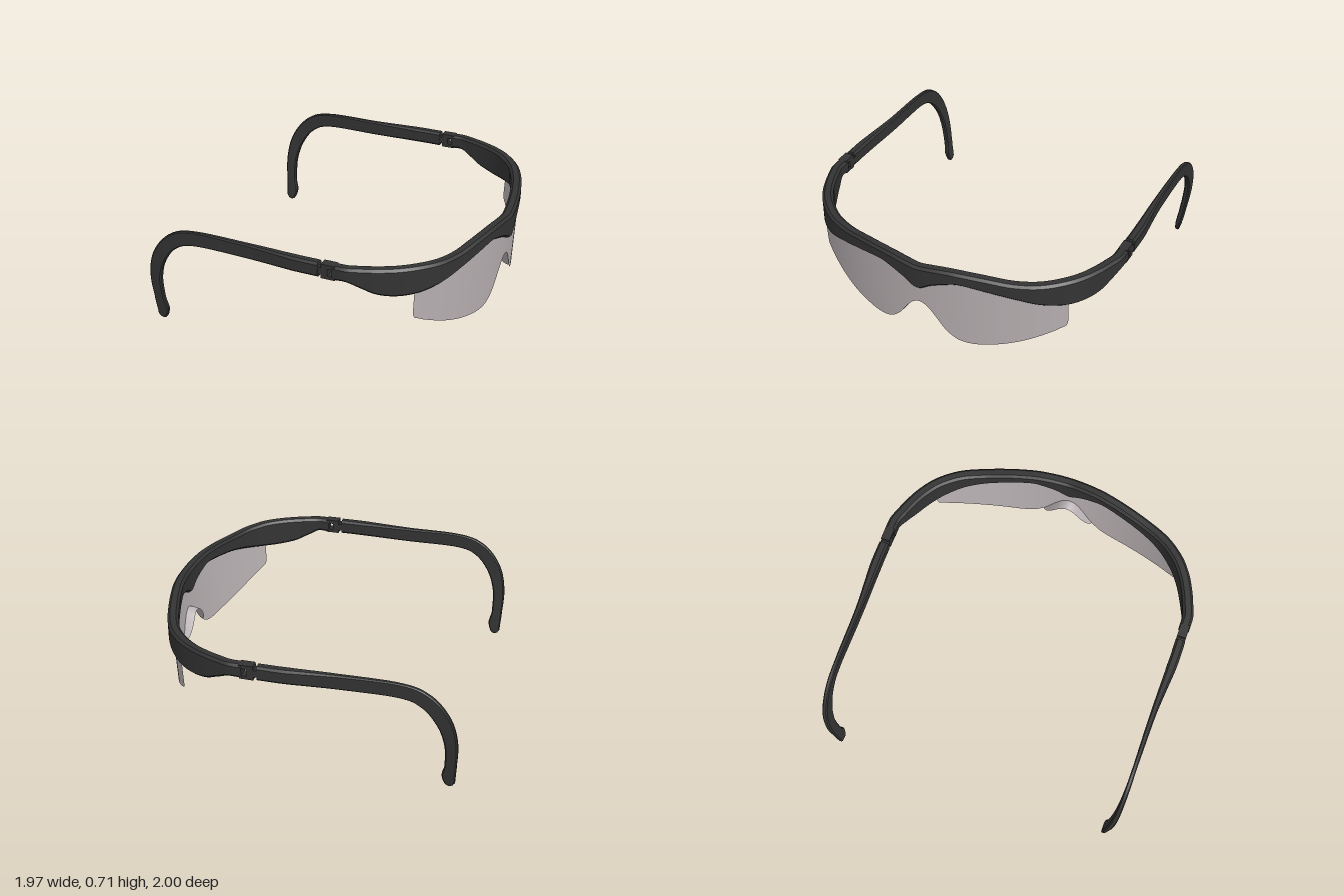
import * as THREE from 'three';
import { toCreasedNormals } from 'three/addons/utils/BufferGeometryUtils.js';

const V = (x, y, z) => new THREE.Vector3(x, y, z);
const smoothCurve = (pts) => new THREE.CatmullRomCurve3(pts, false, 'catmullrom', 0.5);

function meshData(points, index) {
  const g = new THREE.BufferGeometry();
  g.setAttribute('position', new THREE.Float32BufferAttribute(points.flatMap((p) => p.toArray()), 3));
  g.setIndex(index);
  return g;
}

// Chamfered rectangle around c, with half-extent vectors a and b
function ring(c, a, b) {
  const la = a.length(), lb = b.length(), k = 0.45 * Math.min(la, lb);
  const p = 1 - k / la, q = 1 - k / lb;
  return [[1, -q], [1, q], [p, 1], [-p, 1], [-1, q], [-1, -q], [-p, -1], [p, -1]]
    .map(([u, v]) => c.clone().addScaledVector(a, u).addScaledVector(b, v));
}

// Closed solid through a row of rings, turned outwards by its signed volume
function loft(rings) {
  const n = rings[0].length, pts = rings.flat(), idx = [];
  for (let i = 0; i < rings.length - 1; i++) {
    for (let j = 0; j < n; j++) {
      const a = i * n + j, b = i * n + (j + 1) % n;
      idx.push(a, b, b + n, a, b + n, a + n);
    }
  }
  const last = (rings.length - 1) * n;
  for (let j = 1; j < n - 1; j++) idx.push(0, j + 1, j, last, last + j, last + j + 1);
  let volume = 0;
  for (let i = 0; i < idx.length; i += 3) {
    volume += pts[idx[i]].dot(pts[idx[i + 1]].clone().cross(pts[idx[i + 2]]));
  }
  if (volume < 0) idx.reverse();
  return toCreasedNormals(meshData(pts, idx), 0.5);
}

// Open sheet from columns of points
function sheet(cols) {
  const n = cols[0].length, idx = [];
  for (let i = 0; i < cols.length - 1; i++) {
    for (let j = 0; j < n - 1; j++) {
      const a = i * n + j, b = a + n;
      idx.push(a, b, b + 1, a, b + 1, a + 1);
    }
  }
  const g = meshData(cols.flat(), idx);
  g.computeVertexNormals();
  return g;
}

export function createModel() {
  const model = new THREE.Group();
  model.name = 'safetyGlasses';
  const black = new THREE.MeshStandardMaterial({ color: 0x333333 });
  black.name = 'black plastic';
  const tint = new THREE.MeshStandardMaterial({ color: 0xb9b1b3, side: THREE.DoubleSide });
  tint.name = 'tinted lens';
  const add = (name, geometry, material, parent = model) => {
    const m = new THREE.Mesh(geometry, material);
    m.name = name;
    parent.add(m);
    return m;
  };

  // Brow frame: outer x, outer z, top y, bottom y from hinge to centre
  const half = [
    [0.255, 0.998, 0.69, 0.6], [0.34, 0.995, 0.69, 0.6], [0.42, 0.97, 0.69, 0.565],
    [0.5, 0.94, 0.69, 0.53], [0.6, 0.89, 0.69, 0.515], [0.7, 0.815, 0.69, 0.52],
    [0.795, 0.7, 0.685, 0.545], [0.86, 0.56, 0.685, 0.58], [0.91, 0.4, 0.7, 0.608],
    [0.945, 0.26, 0.708, 0.625], [0.96, 0.18, 0.708, 0.61], [0.973, 0.09, 0.702, 0.578],
    [0.98, 0, 0.695, 0.535],
  ];
  const full = [...half, ...half.slice(0, -1).reverse().map(([x, z, t, b]) => [x, -z, t, b])];
  const topEdge = smoothCurve(full.map(([x, z, t]) => V(x, t, z)));
  const lowEdge = smoothCurve(full.map(([x, z, , b]) => V(x, b, z)));
  const browRings = [];
  const steps = 120;
  for (let i = 0; i <= steps; i++) {
    const u = i / steps, t = topEdge.getPoint(u), b = lowEdge.getPoint(u);
    const dir = topEdge.getTangent(u).setY(0).normalize();
    const inward = V(dir.z, 0, -dir.x).multiplyScalar(0.033);
    const centre = t.clone().add(b).multiplyScalar(0.5).add(inward);
    browRings.push(ring(centre, inward, V(0, (t.y - b.y) / 2, 0)));
  }
  add('browFrame', loft(browRings), black);

  // Lens: lower edge as z, y, with the nose notch in the middle
  const edge = [
    [0.82, 0.5], [0.82, 0.38], [0.785, 0.343], [0.7, 0.295], [0.6, 0.25], [0.5, 0.217],
    [0.4, 0.195], [0.32, 0.185], [0.25, 0.192], [0.2, 0.217], [0.15, 0.265],
    [0.1, 0.337], [0.05, 0.397], [0, 0.42],
  ];
  const rim = smoothCurve([...edge, ...edge.slice(0, -1).reverse().map(([z, y]) => [-z, y])]
    .map(([z, y]) => V(0, y, z)));
  const lensPoint = (y, z) => V(0.957 - 0.37 * z * z - 0.05 * z ** 4 - 0.05 * (0.6 - y), y, z);
  const lensCols = [], noseCols = [];
  for (let i = 0; i <= 156; i++) {
    const { y, z } = rim.getPoint(i / 156);
    lensCols.push([0, 0.25, 0.5, 0.75, 1].map((v) => lensPoint(y + (0.65 - y) * v, z)));
    // Nose flange sweeps back from the notch and fades out at its sides
    if (Math.abs(z) <= 0.17) {
      const depth = 0.06 * (1 - (z / 0.17) ** 4);
      noseCols.push([0, 0.5, 1].map((v) =>
        lensPoint(y, z).add(V(-depth * v, -0.15 * depth * v * v, 0))));
    }
  }
  add('lens', sheet(lensCols), tint);
  add('noseFlange', sheet(noseCols), tint);

  // Temple arm: centre x, y, z, half height, half thickness
  const arm = [
    [0.165, 0.645, 0.967, 0.046, 0.03], [0, 0.645, 0.966, 0.046, 0.03],
    [-0.3, 0.645, 0.951, 0.046, 0.018], [-0.65, 0.643, 0.948, 0.046, 0.013],
    [-0.8, 0.592, 0.947, 0.047, 0.014], [-0.9, 0.47, 0.94, 0.045, 0.016],
    [-0.945, 0.32, 0.925, 0.038, 0.018], [-0.947, 0.16, 0.905, 0.034, 0.016],
    [-0.938, 0.08, 0.895, 0.041, 0.015], [-0.945, 0.025, 0.888, 0.031, 0.013],
    [-0.95, 0.005, 0.886, 0.015, 0.009],
  ];
  for (const s of [1, -1]) {
    const side = new THREE.Group();
    side.name = s > 0 ? 'leftTemple' : 'rightTemple';
    model.add(side);
    const path = smoothCurve(arm.map(([x, y, z]) => V(x, y, z * s)));
    const rings = [];
    for (let i = 0; i <= 80; i++) {
      const u = i / 80, f = u * (arm.length - 1);
      const k = Math.min(Math.floor(f), arm.length - 2);
      const size = (c) => THREE.MathUtils.lerp(arm[k][c], arm[k + 1][c], f - k);
      const dir = path.getTangent(u).setZ(0).normalize();
      rings.push(ring(path.getPoint(u), V(-dir.y, dir.x, 0).multiplyScalar(size(3)), V(0, 0, size(4))));
    }
    add('templeArm', loft(rings), black, side);

    // Hinge: tongue on the arm between two prongs on the frame
    const box = (name, x0, x1, y0, y1) => add(name, new THREE.BoxGeometry(x1 - x0, y1 - y0, 0.056), black, side)
      .position.set((x0 + x1) / 2, (y0 + y1) / 2, 0.966 * s);
    box('hingeTongue', 0.15, 0.225, 0.622, 0.665);
    box('hingeUpperProng', 0.185, 0.27, 0.665, 0.69);
    box('hingeLowerProng', 0.185, 0.27, 0.6, 0.622);
  }
  return model;
}
